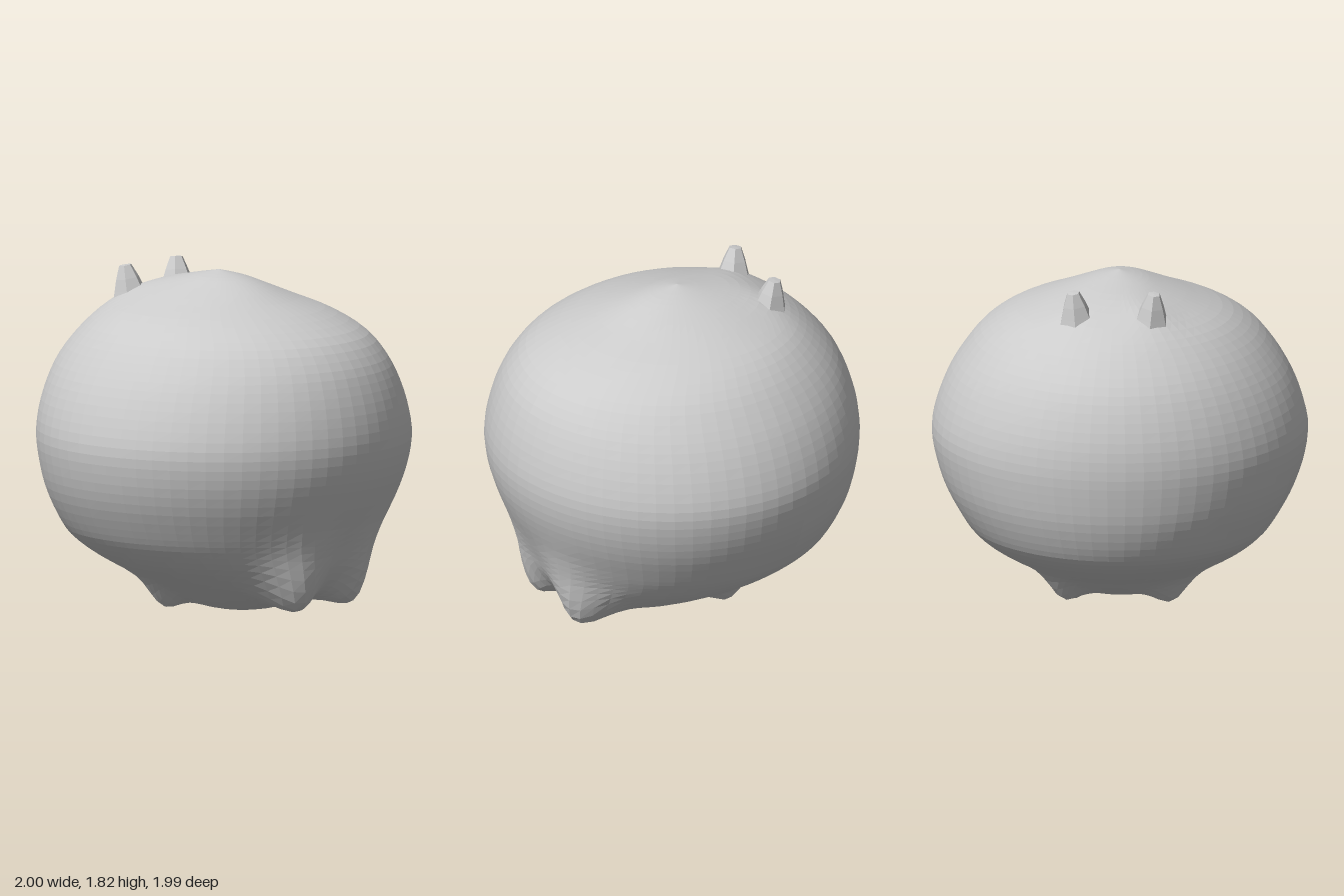
import * as THREE from 'three';

const material = new THREE.MeshStandardMaterial({ color: 0xcccccc, flatShading: true });

// Body sections from bottom to top: [y, half width, front z, back z]
const SECTIONS = [
  [0.005, 0, 0.1, 0.1], [0.03, 0.16, 0.3, -0.08], [0.08, 0.29, 0.47, -0.22],
  [0.14, 0.40, 0.60, -0.35], [0.2, 0.51, 0.68, -0.47], [0.3, 0.67, 0.76, -0.67],
  [0.4, 0.78, 0.81, -0.82], [0.5, 0.85, 0.86, -0.89], [0.65, 0.93, 0.93, -0.95],
  [0.8, 0.98, 0.98, -0.98], [0.95, 1.0, 1.0, -0.995], [1.1, 0.97, 0.985, -0.985],
  [1.25, 0.91, 0.945, -0.945], [1.38, 0.83, 0.885, -0.885], [1.5, 0.73, 0.78, -0.79],
  [1.6, 0.595, 0.6, -0.68], [1.68, 0.41, 0.4, -0.54], [1.75, 0.23, 0.24, -0.38],
  [1.79, 0.12, 0.12, -0.2], [1.82, 0, -0.03, -0.03],
];

// Soft bumps pulled out of the body: centre, pull, radius (mirrored in x)
const BUMPS = [
  { at: [0.25, 0.17, 0.66], pull: [0, -0.14, 0.07], r: 0.11 }, // front feet
  { at: [0.24, 0.34, 0.76], pull: [0, -0.01, 0.035], r: 0.13 }, // front legs
  { at: [0.28, 0.13, -0.18], pull: [0.01, -0.1, 0], r: 0.08 }, // back feet
  { at: [0.2, 1.68, -0.48], pull: [0, 0.02, 0], r: 0.1 }, // ear roots
];

function bump(p) {
  const out = p.clone();
  for (const { at, pull, r } of BUMPS) {
    for (const side of [-1, 1]) {
      const d2 = p.distanceToSquared(new THREE.Vector3(at[0] * side, at[1], at[2]));
      const pulled = new THREE.Vector3(pull[0] * side, pull[1], pull[2]);
      out.addScaledVector(pulled, Math.exp(-d2 / (2 * r * r)));
    }
  }
  return out;
}

function bodyGeometry(rows = 56, cols = 64) {
  const curve = (f) => new THREE.CatmullRomCurve3(SECTIONS.map(f), false, 'catmullrom', 0.5);
  const outline = curve(([y, w]) => new THREE.Vector3(w, y, 0));
  const depth = curve(([, , f, b]) => new THREE.Vector3(f, b, 0));
  const positions = [], index = [];
  for (let j = 0; j <= rows; j++) {
    const { x: w, y } = outline.getPoint(j / rows);
    const { x: f, y: b } = depth.getPoint(j / rows);
    for (let i = 0; i < cols; i++) {
      const a = (i / cols) * Math.PI * 2;
      const p = new THREE.Vector3(w * Math.sin(a), y, (f + b) / 2 + ((f - b) / 2) * Math.cos(a));
      positions.push(...bump(p).toArray());
      if (j === rows) continue;
      const k = j * cols + i, n = j * cols + ((i + 1) % cols);
      if (j > 0) index.push(k, n, n + cols);
      if (j < rows - 1) index.push(k, n + cols, k + cols);
      else if (j === 0) index.push(k, n + cols, k + cols);
    }
  }
  const g = new THREE.BufferGeometry();
  g.setAttribute('position', new THREE.Float32BufferAttribute(positions, 3));
  g.setIndex(index);
  g.computeVertexNormals();
  return g;
}

// Short faceted stub, leaning slightly outwards
function makeEar(side) {
  const profile = [[0.12, -0.08], [0.085, 0.02], [0.065, 0.08], [0.035, 0.15], [0, 0.152]];
  const geometry = new THREE.LatheGeometry(profile.map(([r, y]) => new THREE.Vector2(r, y)), 6);
  const ear = new THREE.Mesh(geometry, material);
  ear.name = side > 0 ? 'leftEar' : 'rightEar';
  ear.position.set(0.2 * side, 1.675, -0.48);
  ear.rotation.set(-0.14, 0, -0.1 * side);
  return ear;
}

export function createModel() {
  const model = new THREE.Group();
  model.name = 'roundCreature';
  const body = new THREE.Mesh(bodyGeometry(), material);
  body.name = 'bodyWithFeet';
  model.add(body, makeEar(1), makeEar(-1));
  return model;
}
